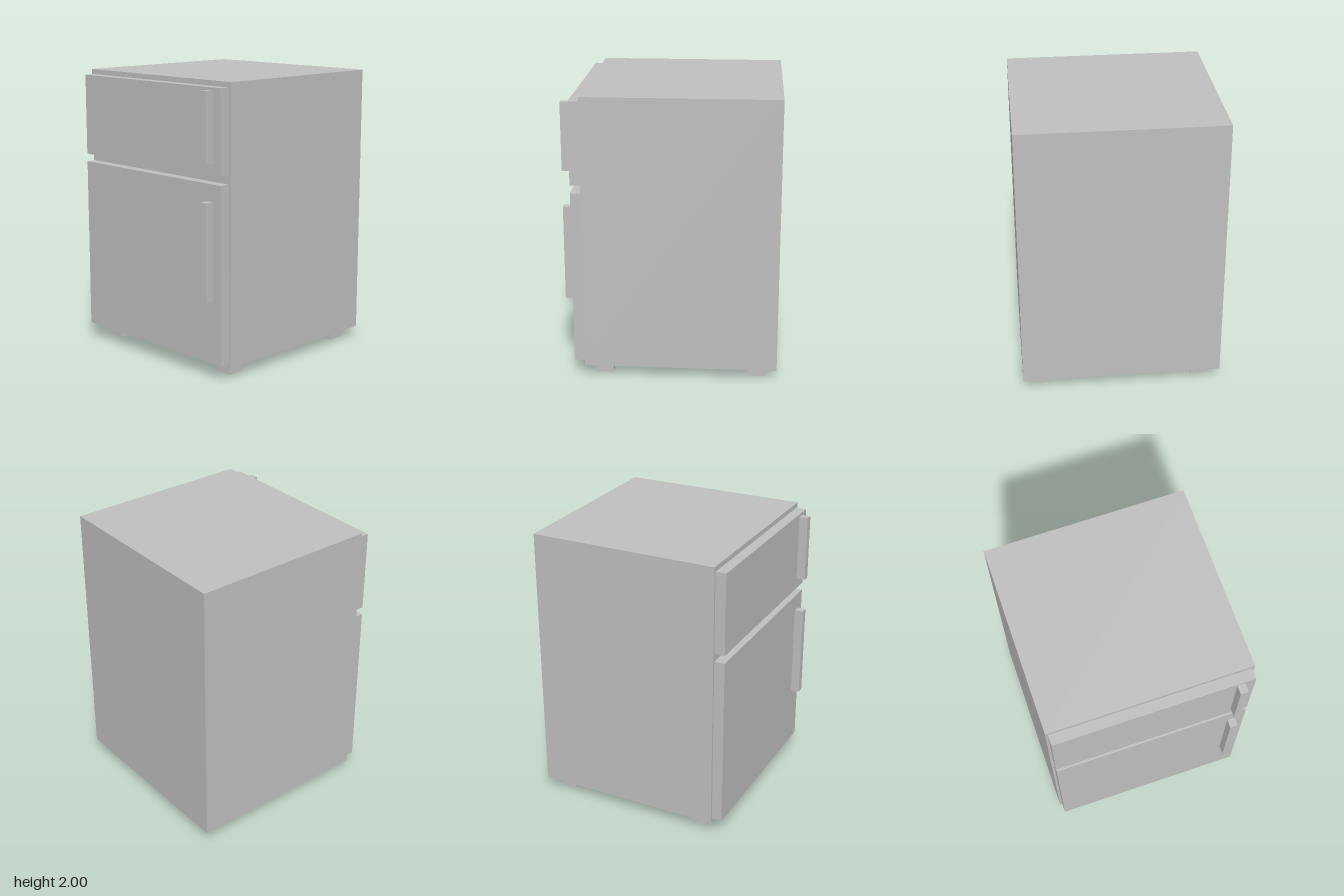
import * as THREE from 'three';

export function createModel() {
  const model = new THREE.Group();
  model.name = 'refrigerator';
  const grey = new THREE.MeshStandardMaterial({ color: 0xbfbfbf });
  grey.name = 'light grey';

  // Adds a box spanning the given [min, max] ranges
  function addBox(name, [x0, x1], [y0, y1], [z0, z1]) {
    const mesh = new THREE.Mesh(new THREE.BoxGeometry(x1 - x0, y1 - y0, z1 - z0), grey);
    mesh.position.set((x0 + x1) / 2, (y0 + y1) / 2, (z0 + z1) / 2);
    mesh.name = name;
    model.add(mesh);
  }

  addBox('cabinet', [-0.707, 0.707], [0.08, 2], [-0.74, 0.603]);

  // Doors, each with a vertical bar handle
  const doors = [
    { name: 'freezer', door: [1.392, 1.965], handle: [1.472, 1.945] },
    { name: 'fridge', door: [0.112, 1.335], handle: [0.547, 1.218] },
  ];
  for (const { name, door, handle } of doors) {
    addBox(name + 'Door', [-0.69, 0.69], door, [0.603, 0.677]);
    addBox(name + 'Handle', [0.562, 0.616], handle, [0.677, 0.74]);
  }

  // Four square feet
  for (const x of [-0.572, 0.568]) {
    for (const [end, z] of [['front', 0.472], ['back', -0.6]]) {
      const side = x > 0 ? 'Left' : 'Right';
      addBox(end + side + 'Foot', [x - 0.062, x + 0.062], [0, 0.08], [z - 0.062, z + 0.062]);
    }
  }

  return model;
}
